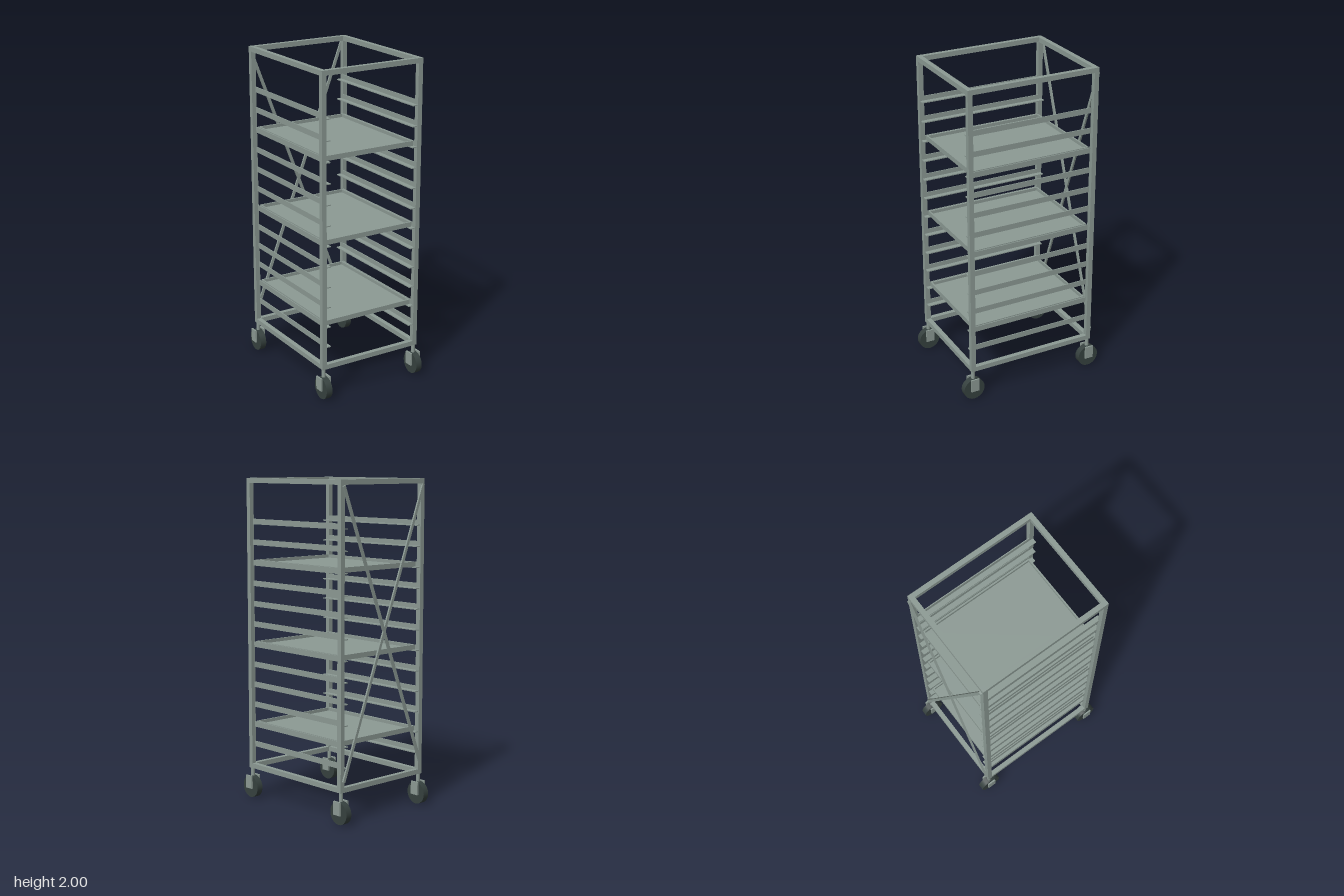
import * as THREE from 'three';

export function createModel() {
  const root = new THREE.Group();
  root.name = 'trayRackTrolley';
  const steel = new THREE.MeshStandardMaterial({ color: 0x8c9a94 });
  steel.name = 'brushed steel';
  const rubber = new THREE.MeshStandardMaterial({ color: 0x36413f });
  rubber.name = 'dark rubber';

  const group = (name, parent = root) => {
    const g = new THREE.Group();
    g.name = name;
    parent.add(g);
    return g;
  };
  const add = (name, parent, geometry, material, x, y, z) => {
    const m = new THREE.Mesh(geometry, material);
    m.name = name;
    m.position.set(x, y, z);
    parent.add(m);
    return m;
  };
  const box = (name, parent, w, h, d, x, y, z) =>
    add(name, parent, new THREE.BoxGeometry(w, h, d), steel, x, y, z);

  const X = 0.343, Z = 0.42, T = 0.03;      // frame half width, half depth, tube size
  const px = X - T / 2, pz = Z - T / 2;     // post centres
  const bottom = 0.19, top = 2;

  // Square tube frame: four posts, top and bottom rings
  const frame = group('frame');
  for (const sx of [-1, 1]) for (const sz of [-1, 1])
    box('post', frame, T, top - bottom, T, sx * px, (top + bottom) / 2, sz * pz);
  for (const y of [bottom + T / 2, top - T / 2]) for (const s of [-1, 1]) {
    box('crossBar', frame, 2 * (X - T), T, T, 0, y, s * pz);
    box('sideBar', frame, T, T, 2 * (Z - T), s * px, y, 0);
  }

  // Angled rails, twelve a side: upright plate and inward ledge
  const levels = 12, firstY = 0.327, step = 0.1265, ledge = 0.006;
  const rails = group('rails');
  for (let i = 0; i < levels; i++) for (const s of [-1, 1]) {
    const y = firstY + i * step;
    const rail = group('rail', rails);
    box('railUpright', rail, 0.006, 0.034, 0.83, s * 0.3165, y + 0.017, 0);
    box('railLedge', rail, 0.034, ledge, 0.83, s * 0.2995, y + ledge / 2, 0);
  }

  // Rimmed trays resting on three of the levels
  const tw = 0.614, td = 0.774, th = 0.03, rim = 0.01;
  for (const i of [1, 5, 9]) {
    const tray = group('tray');
    tray.position.y = firstY + i * step + ledge;
    box('trayBase', tray, tw, 0.01, td, 0, 0.005, 0);
    for (const s of [-1, 1]) {
      box('trayEndRim', tray, tw, th - 0.01, rim, 0, 0.02, s * (td - rim) / 2);
      box('traySideRim', tray, rim, th - 0.01, td - 2 * rim, s * (tw - rim) / 2, 0.02, 0);
    }
  }

  // Crossed flat braces on the back
  const rise = 1.71, run = 2 * 0.325;
  for (const s of [-1, 1]) {
    const brace = box('backBrace', root, 0.018, Math.hypot(rise, run), 0.011, 0, 1.11, -Z - 0.0055);
    brace.rotation.z = s * Math.atan2(run, rise);
  }

  // Casters: stem, two fork plates, axle and wheel
  for (const sx of [-1, 1]) for (const sz of [-1, 1]) {
    const caster = group('caster');
    caster.position.set(sx * px, 0, sz * pz);
    add('stem', caster, new THREE.CylinderGeometry(0.012, 0.012, 0.055, 16), steel, 0, 0.1655, 0);
    for (const s of [-1, 1]) box('forkPlate', caster, 0.01, 0.082, 0.055, s * 0.03, 0.101, 0);
    add('axle', caster, new THREE.CylinderGeometry(0.008, 0.008, 0.06, 12), steel, 0, 0.069, 0)
      .rotation.z = Math.PI / 2;
    add('wheel', caster, new THREE.CylinderGeometry(0.069, 0.069, 0.04, 24), rubber, 0, 0.069, 0)
      .rotation.z = Math.PI / 2;
  }
  return root;
}
